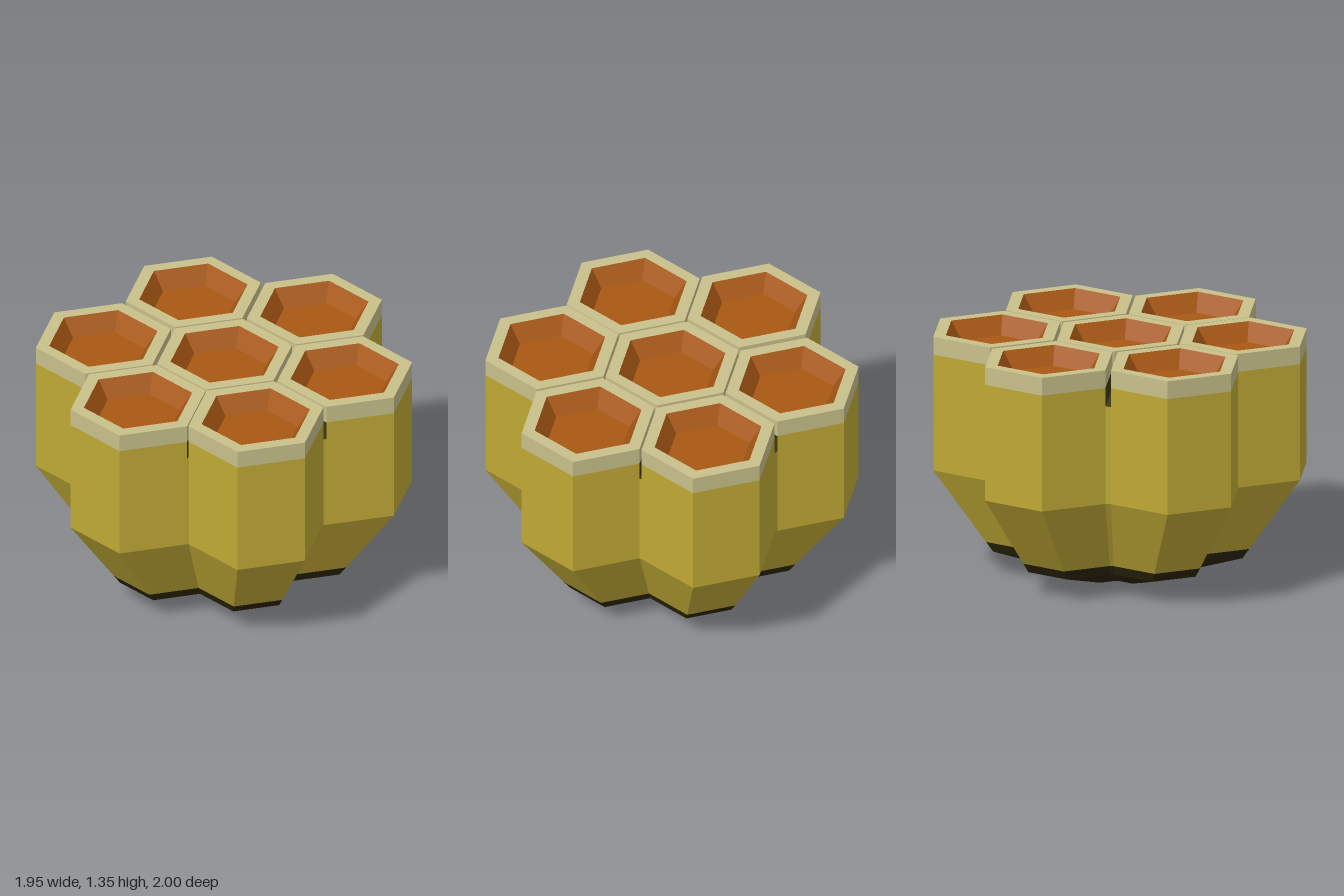
import * as THREE from 'three';

const R = 0.38;        // cell corner radius
const R_MOUTH = 0.305; // cup opening
const R_FLOOR = 0.235; // cup floor
const Y_TOP = 1.345, Y_BAND = 1.245, Y_GAP = 1.14, CUP_DEPTH = 0.1;

const mat = (color, side = THREE.FrontSide) =>
  new THREE.MeshStandardMaterial({ color, side, flatShading: true });
const gold = mat(0xbfa935);
const tan = mat(0xc8c08a);
const orange = mat(0xa85813);
const orangeInside = mat(0xa85813, THREE.BackSide);
const dark = mat(0x3d3810);
const base = mat(0x2a2408);

// Outer cells in order of angle, measured from +z towards +x
const OUTER = [
  [0, 0.67], [0.587, 0.34], [0.592, -0.33],
  [0, -0.67], [-0.597, -0.327], [-0.577, 0.342],
];

function addMesh(parent, name, geometry, material, y = 0) {
  const mesh = new THREE.Mesh(geometry, material);
  mesh.name = name;
  mesh.position.y = y;
  parent.add(mesh);
  return mesh;
}

// Outline of the cluster: four outward corners of every outer cell
function clusterOutline() {
  const points = [];
  OUTER.forEach(([x, z], i) => {
    for (const offset of [-90, -30, 30, 90]) {
      const a = THREE.MathUtils.degToRad(i * 60 + offset);
      points.push([x + R * Math.sin(a), z + R * Math.cos(a)]);
    }
  });
  return points;
}

// Skin through scaled copies of the outline; levels are [y, scale], low to high
function loft(outline, levels) {
  const pos = [];
  const n = outline.length;
  const corner = (level, i) => {
    const [y, s] = levels[level];
    const [x, z] = outline[i % n];
    return [x * s, y, z * s];
  };
  for (let k = 0; k < levels.length - 1; k++) {
    for (let i = 0; i < n; i++) {
      const a = corner(k, i), b = corner(k, i + 1);
      const c = corner(k + 1, i + 1), d = corner(k + 1, i);
      pos.push(...a, ...b, ...c, ...a, ...c, ...d);
    }
  }
  const geometry = new THREE.BufferGeometry();
  geometry.setAttribute('position', new THREE.Float32BufferAttribute(pos, 3));
  geometry.computeVertexNormals();
  return geometry;
}

// Flat cap of the outline, facing up or down
function cap(outline, scale, up) {
  const dir = up ? -1 : 1;
  const shape = new THREE.Shape(
    outline.map(([x, z]) => new THREE.Vector2(x * scale, z * scale * dir)));
  return new THREE.ShapeGeometry(shape).rotateX(dir * Math.PI / 2);
}

// Some sides of a hexagonal tube
function hexWall(rTop, rBottom, height, start = Math.PI / 6, sides = 6) {
  return new THREE.CylinderGeometry(
    rTop, rBottom, height, sides, 1, true, start, sides * Math.PI / 3);
}

// Upper end of one cell: collar, rim and cup
function createCell(name, x, z, outward) {
  const cell = new THREE.Group();
  cell.name = name;
  cell.position.set(x, 0, z);

  // Collar: gold on the outside, dark in the gaps
  const h = Y_BAND - Y_GAP, y = Y_GAP + h / 2;
  if (outward === null) {
    addMesh(cell, 'gapCollar', hexWall(R, R, h), dark, y);
  } else {
    addMesh(cell, 'outerCollar', hexWall(R, R, h, outward - Math.PI / 2, 3), gold, y);
    addMesh(cell, 'gapCollar', hexWall(R, R, h, outward + Math.PI / 2, 3), dark, y);
  }

  // Pale rim
  const bandHeight = Y_TOP - Y_BAND;
  addMesh(cell, 'rimBand', hexWall(R, R, bandHeight), tan, Y_BAND + bandHeight / 2);
  addMesh(cell, 'rimTop',
    new THREE.RingGeometry(R_MOUTH, R, 6, 1).rotateX(-Math.PI / 2), tan, Y_TOP);

  // Cup
  addMesh(cell, 'cupWall', hexWall(R_MOUTH, R_FLOOR, CUP_DEPTH), orangeInside, Y_TOP - CUP_DEPTH / 2);
  addMesh(cell, 'cupFloor',
    new THREE.CircleGeometry(R_FLOOR, 6).rotateX(-Math.PI / 2), orange, Y_TOP - CUP_DEPTH);
  return cell;
}

export function createModel() {
  const model = new THREE.Group();
  model.name = 'honeycombCluster';
  const outline = clusterOutline();

  // Body and tapered base
  addMesh(model, 'body', loft(outline, [[0.18, 0.718], [0.59, 1], [Y_GAP, 1]]), gold);
  addMesh(model, 'base', loft(outline, [[0, 0.26], [0.125, 0.68], [0.18, 0.718]]), base);
  addMesh(model, 'baseBottom', cap(outline, 0.26, false), base);
  addMesh(model, 'gapFloor', cap(outline, 1, true), dark, Y_GAP);

  // Cells
  model.add(createCell('centreCell', 0, 0, null));
  OUTER.forEach(([x, z], i) => {
    model.add(createCell(`outerCell${i + 1}`, x, z, i * Math.PI / 3));
  });
  return model;
}
